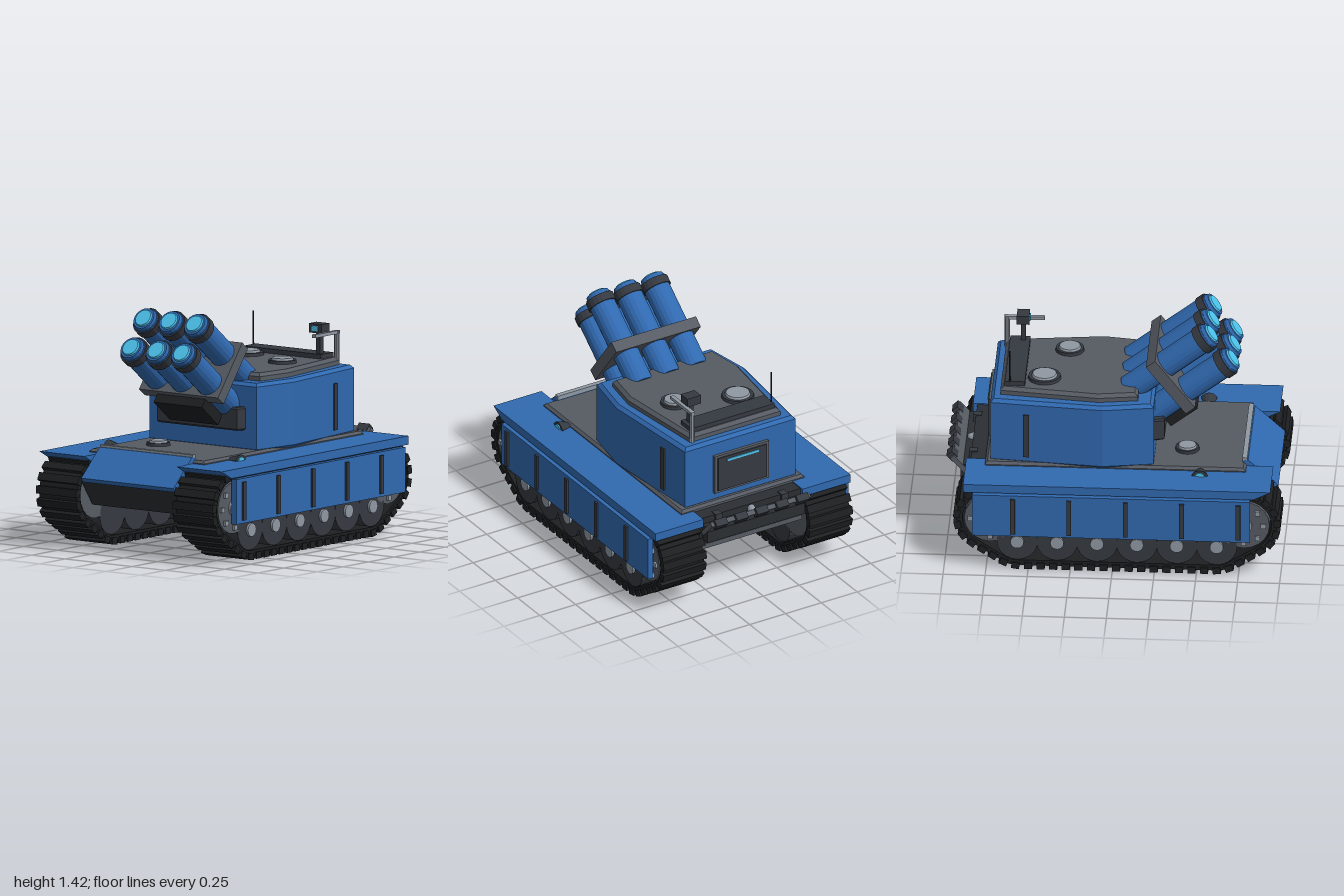
import * as THREE from 'three';

const mat = (color) => new THREE.MeshStandardMaterial({ color, flatShading: true });
const BLUE = mat(0x3069b0), DECK = mat(0x565b63), DARK = mat(0x353940), BLACK = mat(0x1d1f21);
const HULL = mat(0x2b2e32), LIGHT = mat(0x8f98a3), CYAN = mat(0x4cc4ee);

function add(parent, name, geo, material, x = 0, y = 0, z = 0) {
  const m = new THREE.Mesh(geo, material);
  m.name = name;
  m.position.set(x, y, z);
  parent.add(m);
  return m;
}
const box = (w, h, d) => new THREE.BoxGeometry(w, h, d);
const cyl = (r1, r2, h, n = 20) => new THREE.CylinderGeometry(r1, r2, h, n);
const cylX = (r1, r2, h, n) => cyl(r1, r2, h, n).rotateZ(-Math.PI / 2); // r1 on the +x end
const cylZ = (r1, r2, h, n) => cyl(r1, r2, h, n).rotateX(Math.PI / 2); // r1 on the +z end
const shapeOf = (pts) => new THREE.Shape(pts.map(([a, b]) => new THREE.Vector2(a, b)));

// Side profile in (z, y), extruded across x and centred
function across(shape, width) {
  return new THREE.ExtrudeGeometry(shape, { depth: width, bevelEnabled: false, curveSegments: 10 })
    .translate(0, 0, -width / 2).rotateY(-Math.PI / 2);
}
// Half plan of (x, z) points, mirrored in x, raised from y0 to y1 with an inset top edge
function raised(half, y0, y1, bevel) {
  const pts = [...half, ...half.map(([x, z]) => [-x, z]).reverse()].map(([x, z]) => [x, -z]);
  return new THREE.ExtrudeGeometry(shapeOf(pts), {
    depth: y1 - y0 - 2 * bevel, bevelThickness: bevel, bevelSize: bevel, bevelOffset: -bevel, bevelSegments: 1,
  }).rotateX(-Math.PI / 2).translate(0, y0 + bevel, 0);
}

// Belt outline around the end wheels and the road wheels
function beltPath(path, inset) {
  const a = 1.0, q = Math.PI / 2;
  path.absarc(0.62, 0.18, 0.16 - inset, -q, -a, false);
  path.absarc(0.78, 0.33, 0.2 - inset, -a, q, false);
  path.absarc(-0.725, 0.33, 0.2 - inset, q, Math.PI + a, false);
  path.absarc(-0.565, 0.18, 0.16 - inset, Math.PI + a, 3 * q, false);
  path.closePath();
  return path;
}

function runningGear(side) {
  const g = new THREE.Group();
  g.name = side > 0 ? 'leftTrack' : 'rightTrack';
  const X = (x) => side * x;
  const outline = beltPath(new THREE.Shape(), 0);
  const pads = outline.getSpacedPoints(58);
  outline.holes.push(beltPath(new THREE.Path(), 0.035));
  add(g, 'trackBelt', across(outline, 0.28), BLACK, X(0.51));
  for (let i = 0; i < 58; i++) {
    const a = pads[i], b = pads[(i + 1) % 58], c = pads[(i + 57) % 58];
    const pad = add(g, 'trackPad', box(0.3, 0.04, 0.048), BLACK, X(0.51), a.y, a.x);
    pad.rotation.x = -Math.atan2(b.y - c.y, b.x - c.x);
  }
  for (let i = 0; i < 6; i++) {
    const z = 0.62 - i * 0.237;
    add(g, 'roadWheel', cylX(0.122, 0.122, 0.27), DARK, X(0.515), 0.18, z);
    add(g, 'wheelHub', cylX(0.04, 0.04, 0.28), LIGHT, X(0.525), 0.18, z);
  }
  for (const z of [0.78, -0.725]) {
    add(g, 'endWheel', cylX(0.155, 0.155, 0.27), DECK, X(0.515), 0.33, z);
    add(g, 'endWheelHub', cylX(0.05, 0.05, 0.29), LIGHT, X(0.52), 0.33, z);
    for (let i = 0; i < 8; i++) {
      const t = (i * Math.PI) / 4;
      add(g, 'wheelBolt', box(0.02, 0.03, 0.03), LIGHT, X(0.655), 0.33 + 0.118 * Math.sin(t), z + 0.118 * Math.cos(t));
    }
  }
  // Fender, side skirt and its straps
  add(g, 'fender', across(shapeOf([[0.94, 0.567], [-0.885, 0.567], [-0.885, 0.515], [0.84, 0.515]]), 0.335), BLUE, X(0.513));
  add(g, 'sideSkirt', box(0.035, 0.27, 1.65), BLUE, X(0.682), 0.373, -0.005);
  for (let i = 0; i < 5; i++) add(g, 'skirtStrap', box(0.02, 0.23, 0.028), DARK, X(0.702), 0.372, 0.75 - i * 0.335);
  const lamp = add(g, 'deckLamp', cylX(0.052, 0.032, 0.07, 12), DARK, X(0.46), 0.552, 0.51);
  if (side < 0) lamp.rotation.y = Math.PI;
  add(g, 'deckLampLens', cylX(0.03, 0.03, 0.01, 12), CYAN, X(0.497), 0.56, 0.51);
  return g;
}

function hatch(parent, x, y, z, r) {
  add(parent, 'hatchRing', cyl(r, r * 1.04, 0.02, 24), DARK, x, y + 0.01, z);
  add(parent, 'hatchLid', cyl(r * 0.74, r * 0.82, 0.015, 24), LIGHT, x, y + 0.025, z);
}

function makeHull() {
  const g = new THREE.Group();
  g.name = 'hull';
  add(g, 'lowerHull', across(shapeOf([[0.95, 0.42], [0.84, 0.265], [-0.72, 0.265], [-0.86, 0.38], [-0.86, 0.56], [0.78, 0.56]]), 0.72), HULL);
  add(g, 'deck', raised([[0.43, 0.78], [0.43, -0.77]], 0.5, 0.588, 0.015), DECK);
  add(g, 'frontPlate', across(shapeOf([[0.765, 0.605], [0.79, 0.605], [0.97, 0.44], [0.955, 0.415], [0.75, 0.56]]), 0.69), BLUE);
  add(g, 'frontPlateEdge', box(0.69, 0.025, 0.03), LIGHT, 0, 0.607, 0.77);
  hatch(g, -0.19, 0.586, 0.42, 0.07);
  // Rear shelf with a sloped rack of spare links
  add(g, 'rearShelf', box(0.68, 0.1, 0.1), HULL, 0, 0.47, -0.87);
  add(g, 'rearBar', box(0.7, 0.03, 0.03), DECK, 0, 0.37, -0.855);
  const rack = new THREE.Group();
  rack.name = 'rearRack';
  rack.position.set(0, 0.515, -0.92);
  rack.rotation.x = -0.745;
  add(rack, 'rackPlate', box(0.69, 0.15, 0.03), DECK);
  for (let i = -2; i <= 2; i++) add(rack, 'spareLink', box(0.08, 0.05, 0.045), DARK, i * 0.142, 0.07, -0.005);
  g.add(rack);
  for (const x of [-0.23, 0.23]) add(g, 'rearLampBox', box(0.045, 0.05, 0.05), DARK, x, 0.54, -0.85);
  add(g, 'towHook', new THREE.SphereGeometry(0.025, 12, 8).scale(1, 1, 1.6), LIGHT, 0, 0.53, -0.86);
  return g;
}

function makeTurret() {
  const g = new THREE.Group();
  g.name = 'turret';
  add(g, 'turretBody', raised([[0.4, 0.23], [0.45, -0.07], [0.385, -0.74]], 0.57, 0.985, 0.02), BLUE);
  add(g, 'turretRoof', raised([[0.35, 0.135], [0.385, -0.1], [0.315, -0.685]], 0.95, 1.032, 0.02), DECK);
  hatch(g, -0.175, 1.03, -0.43, 0.095);
  hatch(g, 0.185, 1.03, -0.3, 0.083);
  add(g, 'roofRail', box(0.58, 0.03, 0.12), DARK, 0, 1.045, -0.6);
  for (const s of [1, -1]) {
    const strap = add(g, 'turretStrap', box(0.02, 0.28, 0.035), DARK, s * 0.405, 0.76, -0.525);
    strap.rotation.y = s * 0.097;
  }
  // Rear door with its light slit
  add(g, 'rearDoorFrame', box(0.38, 0.25, 0.04), DECK, 0, 0.76, -0.74);
  add(g, 'rearDoor', box(0.34, 0.22, 0.02), DARK, 0, 0.76, -0.757);
  add(g, 'doorSlit', box(0.22, 0.015, 0.02), CYAN, 0, 0.845, -0.762);
  add(g, 'frontMantle', raised([[0.3, 0.29], [0.325, 0.2]], 0.7, 0.84, 0.01), DARK);
  // Sight, its bracket and the antenna
  add(g, 'bracketPost', cyl(0.016, 0.016, 0.24, 10), LIGHT, 0.3, 1.07, -0.68);
  add(g, 'bracketArm', box(0.025, 0.02, 0.24), LIGHT, 0.3, 1.18, -0.575);
  add(g, 'sightPost', box(0.03, 0.15, 0.03), DARK, 0.25, 1.12, -0.58);
  add(g, 'sightBox', box(0.095, 0.055, 0.075), DARK, 0.245, 1.212, -0.58);
  add(g, 'sightLens', box(0.045, 0.03, 0.01), CYAN, 0.245, 1.212, -0.541);
  add(g, 'antenna', cyl(0.004, 0.006, 0.22, 8), BLACK, -0.285, 1.15, -0.63);
  return g;
}

function makeLauncher() {
  const g = new THREE.Group();
  g.name = 'launcher';
  g.position.set(0, 1.05, 0.325);
  g.rotation.x = -0.663;
  add(g, 'tubeFrame', box(0.59, 0.385, 0.07), DECK);
  for (const y of [-0.102, 0.102]) {
    for (const x of [-0.19, 0, 0.19]) {
      add(g, 'launchTube', cylZ(0.08, 0.08, 0.6), BLUE, x, y, 0.06);
      add(g, 'muzzleCollar', cylZ(0.089, 0.089, 0.05), DARK, x, y, 0.325);
      add(g, 'muzzleTip', cylZ(0.07, 0.08, 0.03), BLUE, x, y, 0.365);
      add(g, 'tubeLens', cylZ(0.052, 0.058, 0.012), CYAN, x, y, 0.384);
    }
  }
  add(g, 'launcherArm', box(0.36, 0.12, 0.2), BLACK, 0, -0.19, -0.1);
  return g;
}

export function createModel() {
  const model = new THREE.Group();
  model.name = 'rocketTank';
  model.add(makeHull(), runningGear(1), runningGear(-1), makeTurret(), makeLauncher());
  return model;
}
